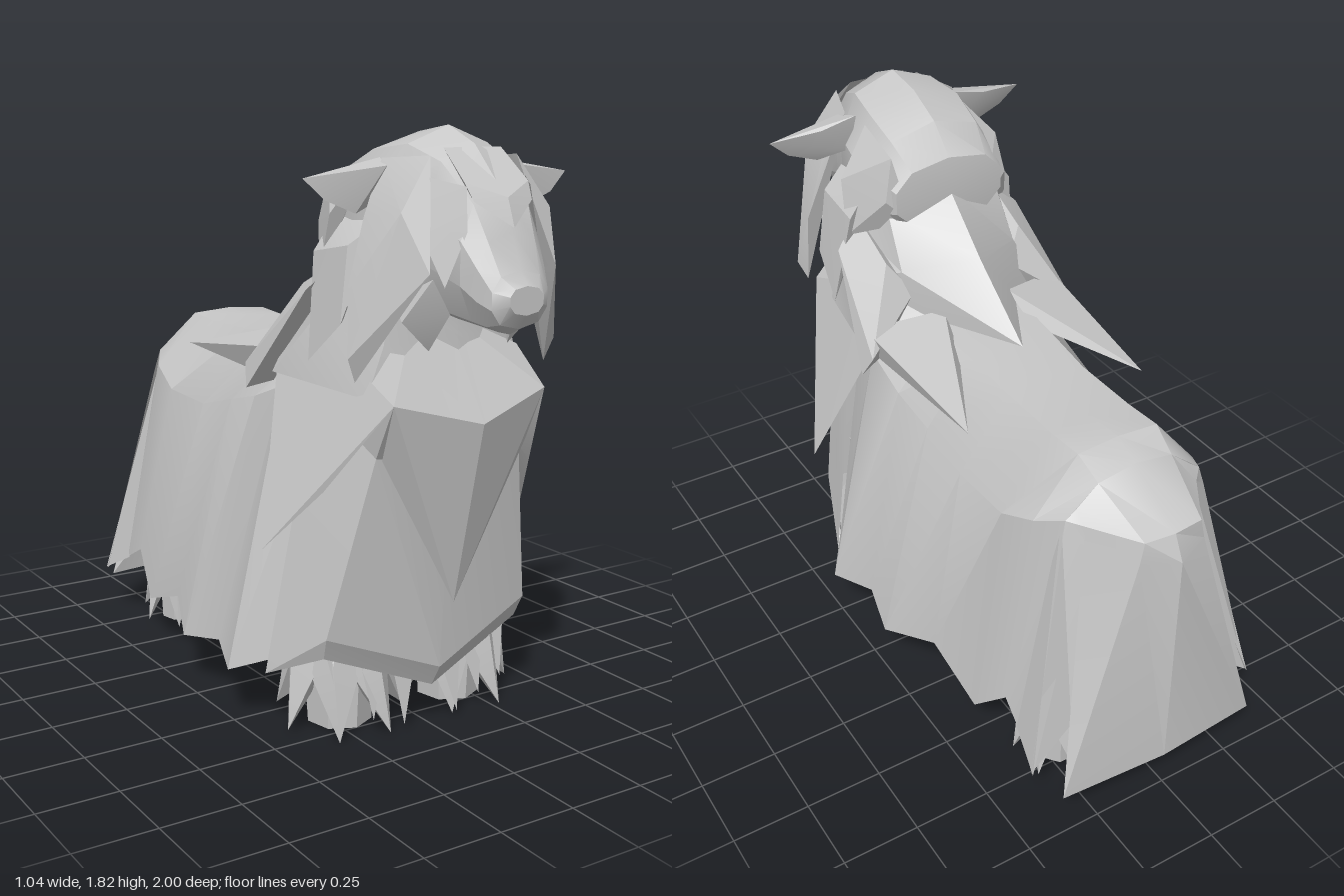
import * as THREE from 'three';
import { toCreasedNormals } from 'three/addons/utils/BufferGeometryUtils.js';
import { ConvexGeometry } from 'three/addons/geometries/ConvexGeometry.js';

export function createModel() {
  const model = new THREE.Group();
  model.name = 'shaggyAnimal';
  const fleece = new THREE.MeshStandardMaterial({ color: 0xc6c6c6, side: THREE.DoubleSide });
  fleece.name = 'grey fleece';

  const add = (name, geometry, crease = 0.5) => {
    const mesh = new THREE.Mesh(toCreasedNormals(geometry, crease), fleece);
    mesh.name = name;
    model.add(mesh);
  };
  const flip = ([x, y, z]) => [-x, y, z];

  // Skin stretched over rows of points; closed rows wrap around
  const skin = (name, rows, closed, crease) => {
    const n = rows[0].length, index = [];
    for (let i = 0; i < rows.length - 1; i++) {
      for (let j = 0; j < (closed ? n : n - 1); j++) {
        const a = i * n + j, b = i * n + (j + 1) % n;
        index.push(a, b, a + n, b, b + n, a + n);
      }
    }
    const g = new THREE.BufferGeometry();
    g.setAttribute('position', new THREE.Float32BufferAttribute(rows.flat(2), 3));
    g.setIndex(index);
    add(name, g, crease);
  };
  // Half rows start on the centre line; a ring also ends on it
  const ring = half => [...half, ...half.slice(1, -1).reverse().map(flip)];
  const leftToRight = half => [...half.slice(1).reverse(), half[0], ...half.slice(1).map(flip)];
  const rightToLeft = half => leftToRight(half).reverse();

  // Solid locks of hair: single ones, and mirrored pairs
  const lock = (name, points, crease = 0.4) =>
    add(name, new ConvexGeometry(points.map(p => new THREE.Vector3(...p))), crease);
  const locks = (name, points) => {
    lock('left' + name, points);
    lock('right' + name, points.map(flip));
  };

  // Body coat: z, spine height, back edge x and y, flank x and y, hem x and y
  const coat = [
    [0.42, 1.2, 0.16, 1.19, 0.27, 1.06, 0.4, 0.26],
    [0.25, 1.2, 0.17, 1.19, 0.32, 1.05, 0.52, 0.18],
    [0.08, 1.18, 0.16, 1.17, 0.32, 0.99, 0.46, 0.21],
    [-0.09, 1.17, 0.15, 1.16, 0.31, 0.95, 0.5, 0.18],
    [-0.29, 1.15, 0.14, 1.14, 0.31, 0.9, 0.42, 0.24],
    [-0.53, 1.15, 0.14, 1.14, 0.31, 0.91, 0.41, 0.16],
    [-0.67, 1.16, 0.14, 1.15, 0.29, 0.97, 0.38, 0.3],
    [-0.76, 1.12, 0.13, 1.1, 0.24, 1.01, 0.39, 0.25],
  ].map(([z, top, bx, by, fx, fy, hx, hy]) =>
    ring([[0, top, z], [bx, by, z], [fx, fy, z], [hx, hy, z], [hx * 0.8, 0.4, z], [0, 0.52, z]]));
  skin('bodyCoat', coat, true);

  // Rump top and the long folded curtain of hair behind
  const rumpEdge = [[0, 1, -0.96], [0.1, 1, -0.95], [0.2, 1, -0.8], [0.24, 1.01, -0.76]];
  skin('rump', [
    [[0, 1.12, -0.76], [0.13, 1.1, -0.76], [0.2, 1.04, -0.76], [0.24, 1.01, -0.76]],
    rumpEdge,
  ].map(rightToLeft), false);
  skin('rearCurtain', [
    rumpEdge,
    [[0, 0.92, -1], [0.115, 0.93, -0.952], [0.205, 0.94, -0.806], [0.255, 0.95, -0.77]],
    [[0, 0.13, -1], [0.36, 0.12, -0.97], [0.27, 0.3, -0.87], [0.42, 0.18, -0.88]],
  ].map(rightToLeft), false, 0.35);
  locks('HaunchLock', [[0.24, 1.01, -0.74], [0.39, 0.25, -0.75], [0.42, 0.18, -0.89], [0.27, 0.6, -0.82]]);

  // Chest: collar, ledge, front panel and turned-under hem
  skin('chest', [
    [[0, 1.3, 0.64], [0.2, 1.2, 0.72], [0.26, 1.2, 0.42]],
    [[0, 1.0, 0.83], [0.27, 1.07, 0.77], [0.3, 1.05, 0.4]],
    [[0, 0.85, 0.68], [0.26, 0.9, 0.67], [0.35, 0.8, 0.4]],
    [[0, 0.21, 0.64], [0.37, 0.35, 0.58], [0.45, 0.19, 0.36]],
    [[0, 0.14, 0.6], [0.36, 0.28, 0.55], [0.43, 0.19, 0.35]],
    [[0, 0.4, 0.5], [0.3, 0.4, 0.48], [0.36, 0.35, 0.35]],
  ].map(leftToRight), false, 0.25);
  lock('bib', [[0, 1, 0.83], [0.27, 1.07, 0.77], [-0.27, 1.07, 0.77], [0.26, 0.9, 0.7],
    [-0.26, 0.9, 0.7], [0.01, 0.43, 0.69], [0, 0.9, 0.64]], 0.3);

  // Shoulder cape points
  locks('ShoulderLock', [[0.27, 1.07, 0.77], [0.26, 1.2, 0.45], [0.32, 1.1, 0.22], [0.28, 0.98, 0.45],
    [0.38, 0.8, 0.58], [0.49, 0.6, 0.41]]);

  // Neck, running back to a point between the shoulders
  skin('neck', [
    [[0, 1.56, 0.29], [0.2, 1.5, 0.33], [0.26, 1.42, 0.5], [0.2, 1.35, 0.65], [0, 1.3, 0.7]],
    [[0, 1.38, 0.09], [0.21, 1.33, 0.23], [0.31, 1.27, 0.41], [0.23, 1.22, 0.66], [0, 1.24, 0.7]],
    [[0, 1.19, -0.16], [0.16, 1.19, 0.14], [0.36, 1.1, 0.26], [0.28, 1.07, 0.65], [0, 1.08, 0.72]],
  ].map(ring), true);
  locks('ManeWing', [[0.12, 1.22, 0.12], [0.36, 1.17, 0.22], [0.33, 1.07, 0.18], [0.14, 1.14, 0], [0.32, 1.1, -0.36]]);
  locks('NeckLock', [[0.25, 1.45, 0.46], [0.25, 1.36, 0.26], [0.34, 1.36, 0.42], [0.32, 1.06, 0.2],
    [0.18, 1.26, 0.21], [0.4, 1.04, 0.17], [0.38, 1.11, 0.13]]);

  // Head: z, bottom, top, half width
  const head = [
    [1.0, 1.33, 1.41, 0.06], [0.97, 1.29, 1.45, 0.1], [0.93, 1.27, 1.55, 0.12],
    [0.88, 1.27, 1.66, 0.14], [0.76, 1.28, 1.78, 0.17], [0.64, 1.29, 1.83, 0.21],
    [0.5, 1.3, 1.81, 0.24], [0.37, 1.34, 1.75, 0.23], [0.28, 1.43, 1.66, 0.2],
  ].map(([z, low, high, w]) => {
    const half = [];
    for (let i = 0; i <= 5; i++) {
      const a = i / 5 * Math.PI;
      half.push([w * Math.pow(Math.abs(Math.sin(a)), 0.75), (low + high) / 2 + (high - low) / 2 * Math.cos(a), z]);
    }
    return ring(half);
  });
  skin('head', [head[0].map(() => [0, 1.37, 1.0]), ...head, head[0].map(() => [0, 1.55, 0.265])], true, 0.42);

  // Hair falling over the face and cheeks
  lock('forelock', [[0.11, 1.68, 0.86], [-0.11, 1.68, 0.86], [0.1, 1.63, 0.89], [-0.1, 1.63, 0.89],
    [0, 1.56, 0.94], [0.1, 1.77, 0.75], [-0.1, 1.77, 0.75], [0, 1.64, 0.91]]);
  locks('Fringe', [[0.11, 1.67, 0.87], [0.19, 1.7, 0.74], [0.2, 1.55, 0.78], [0.12, 1.55, 0.89], [0.17, 1.4, 0.86]]);
  locks('CheekLock', [[0.15, 1.75, 0.76], [0.2, 1.74, 0.6], [0.26, 1.6, 0.78], [0.28, 1.58, 0.63],
    [0.22, 1.44, 0.86], [0.22, 1.42, 0.76], [0.34, 1.38, 0.64], [0.37, 1.2, 0.69], [0.34, 1.13, 0.68]]);
  locks('JawLock', [[0.22, 1.56, 0.61], [0.22, 1.58, 0.4], [0.3, 1.5, 0.58], [0.3, 1.47, 0.4],
    [0.33, 1.28, 0.59], [0.26, 1.28, 0.5], [0.35, 1.16, 0.45]]);
  locks('ChinLock', [[0.12, 1.32, 0.82], [0.18, 1.42, 0.82], [0.2, 1.35, 0.66], [0.24, 1.3, 0.76], [0.14, 1.21, 0.75]]);
  locks('NapeLock', [[0.18, 1.73, 0.5], [0.19, 1.69, 0.31], [0.29, 1.58, 0.47], [0.22, 1.55, 0.3],
    [0.14, 1.47, 0.28], [0.3, 1.4, 0.43]]);

  // Ears
  locks('Ear', [[0.18, 1.74, 0.56], [0.21, 1.72, 0.64], [0.3, 1.71, 0.57], [0.465, 1.69, 0.61],
    [0.4, 1.63, 0.62], [0.3, 1.59, 0.62], [0.2, 1.62, 0.58]]);

  // Legs wrapped in long shaggy tufts that reach the ground
  const leg = (name, x, z, r) => {
    const post = new THREE.CylinderGeometry(r * 0.8, r * 0.6, 0.55, 7);
    post.translate(x, 0.285, z);
    add(name, post);
    for (let i = 0; i < 7; i++) {
      const a = (i + 0.25) / 7 * Math.PI * 2;
      const at = (da, rad, y) => [x + Math.sin(a + da) * r * rad, y, z + Math.cos(a + da) * r * rad];
      lock(name + 'Tuft', [at(-0.3, 0.6, 0.45), at(0.3, 0.6, 0.45), at(-0.5, 0.9, 0.2), at(0.5, 0.9, 0.2),
        at(0, 1.02, 0.24), at(0, 0.55, 0.12), at(0.12, 1.18, [0.01, 0.04, 0.02][i % 3])], 0.3);
    }
  };
  for (const [side, s] of [['left', 1], ['right', -1]]) {
    leg(side + 'FrontLeg', s * 0.21, 0.4, 0.17);
    leg(side + 'RearLeg', s * 0.2, -0.7, 0.125);
  }

  // Tufts peeping out below the chest hem
  for (let i = 0; i < 3; i++) {
    const x = 0.08 + i * 0.1, z = 0.56 - i * 0.02;
    locks('ChestTuft', [[x - 0.06, 0.3, z], [x + 0.06, 0.3, z], [x, 0.3, z - 0.08], [x + 0.02, 0.03 + i * 0.03, z + 0.04]]);
  }
  return model;
}
